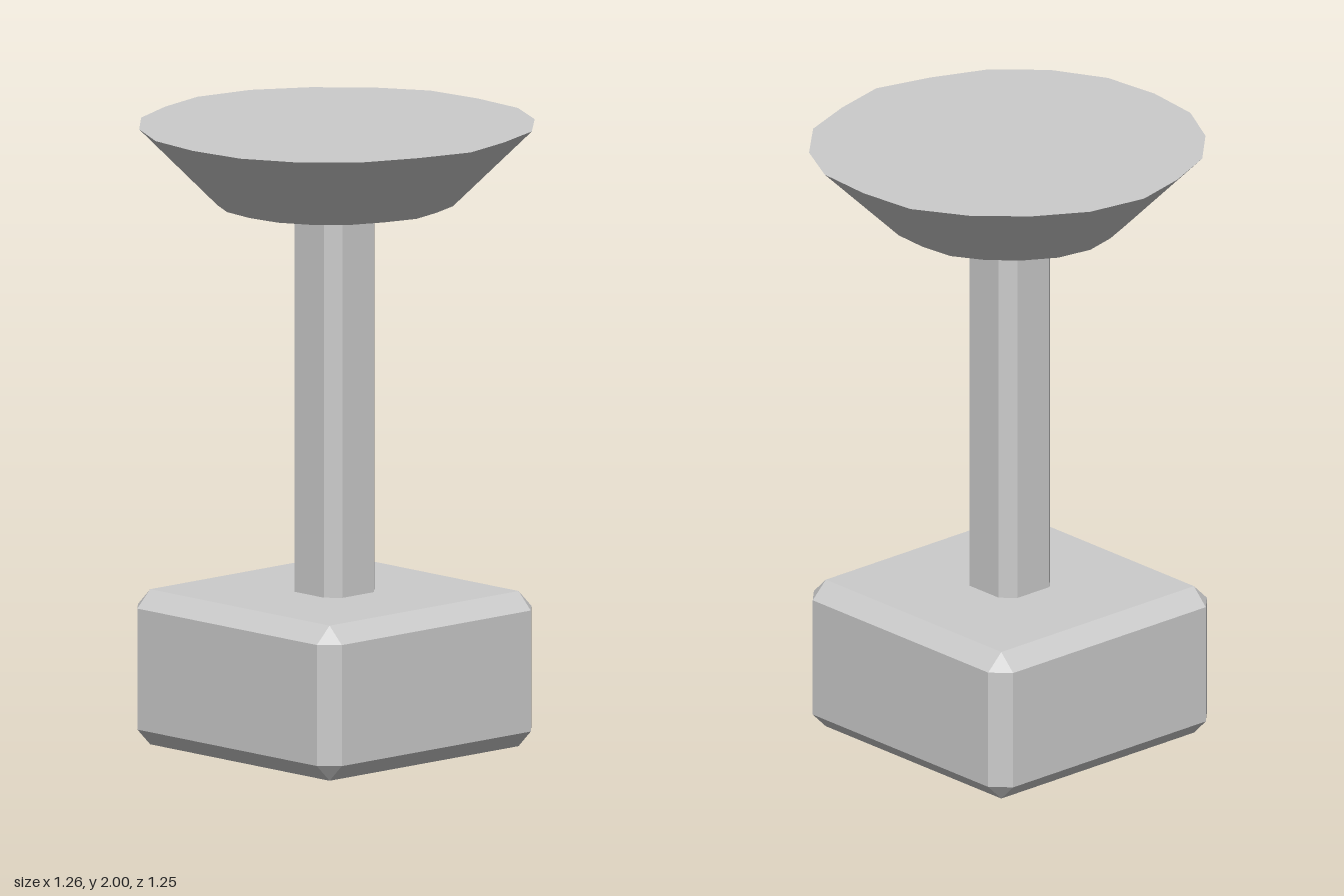
import * as THREE from 'three';
import { ConvexGeometry } from 'three/addons/geometries/ConvexGeometry.js';

const material = new THREE.MeshStandardMaterial({ color: 0xcccccc, flatShading: true });

function hull(name, points) {
  const mesh = new THREE.Mesh(new ConvexGeometry(points), material);
  mesh.name = name;
  return mesh;
}

// Square ring with cut corners: half is the outer reach, flat the half length of each side
function cutSquare(half, flat, y) {
  const ring = [];
  for (const sx of [-1, 1]) for (const sz of [-1, 1]) {
    ring.push(new THREE.Vector3(sx * half, y, sz * flat), new THREE.Vector3(sx * flat, y, sz * half));
  }
  return ring;
}

// Plain square ring
function square(half, y) {
  return [[-1, -1], [-1, 1], [1, -1], [1, 1]].map(([x, z]) => new THREE.Vector3(x * half, y, z * half));
}

// Slightly uneven rim of the dish, as x, z
const RIM = [
  [0, -0.625], [0.2, -0.61], [0.37, -0.522], [0.51, -0.377], [0.58, -0.19],
  [0.627, 0], [0.58, 0.185], [0.507, 0.367], [0.372, 0.51], [0.198, 0.6],
  [0, 0.62], [-0.195, 0.595], [-0.37, 0.5], [-0.505, 0.363], [-0.583, 0.185],
  [-0.63, 0], [-0.597, -0.2], [-0.5, -0.365], [-0.365, -0.505], [-0.197, -0.605],
];

export function createModel() {
  const group = new THREE.Group();
  group.name = 'pedestal';

  // Base block, chamfered on every edge with small triangles at the corners
  group.add(hull('base', [
    ...square(0.412, 0), ...cutSquare(0.468, 0.412, 0.055),
    ...cutSquare(0.468, 0.412, 0.445), ...square(0.412, 0.5),
  ]));

  // Square post with chamfered upright edges
  group.add(hull('post', [...cutSquare(0.11, 0.068, 0.5), ...cutSquare(0.11, 0.068, 1.75)]));

  // Solid flared dish, narrowing downward
  const ring = (scale, y) => RIM.map(([x, z]) => new THREE.Vector3(x * scale, y, z * scale));
  group.add(hull('dish', [...ring(0.6, 1.75), ...ring(1, 2)]));

  return group;
}
